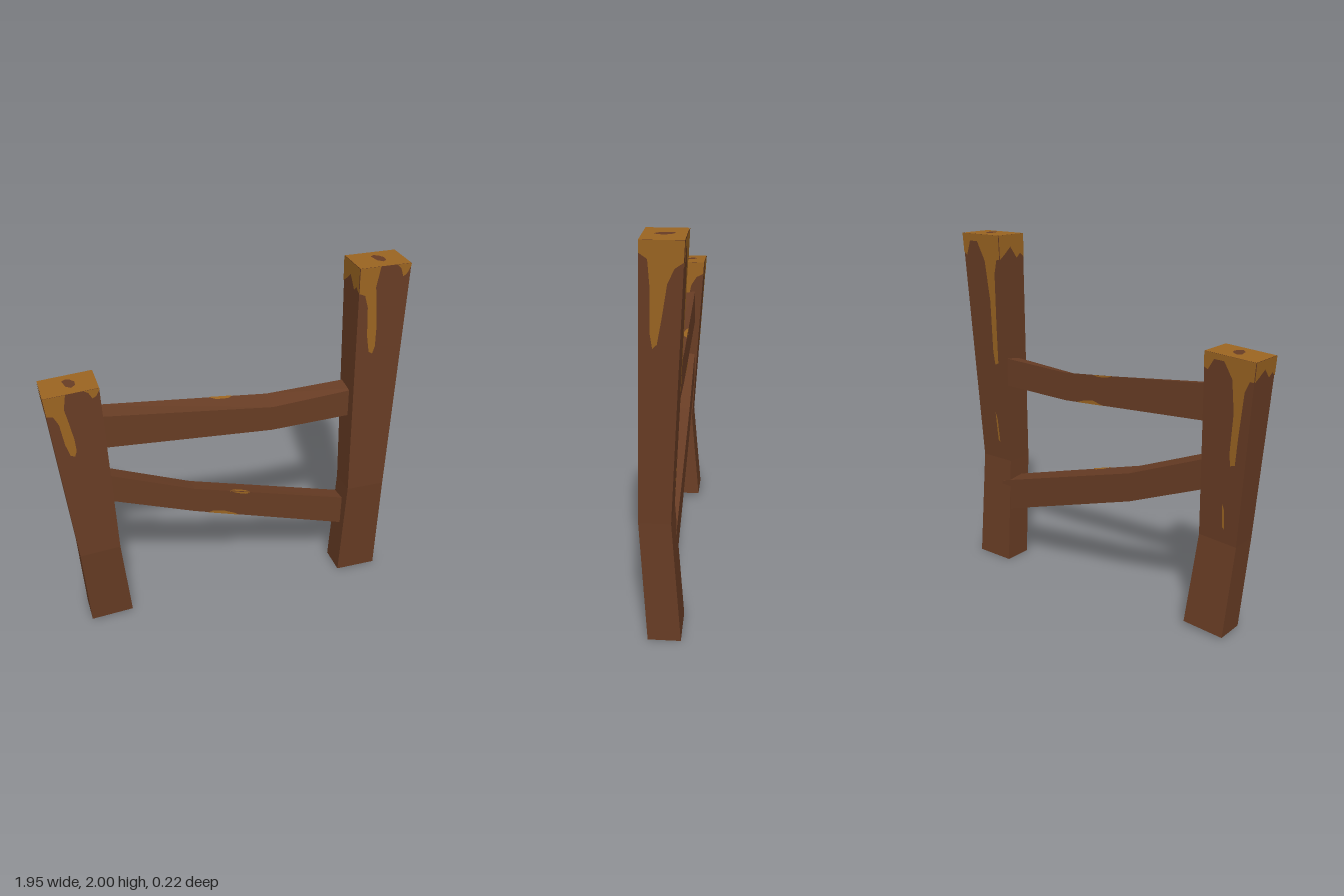
import * as THREE from 'three';

const bark = new THREE.MeshStandardMaterial({ color: 0x673c24 });
bark.name = 'brown bark';
const wood = new THREE.MeshStandardMaterial({ color: 0x9a6421 });
wood.name = 'bare ochre wood';

const V = (x, y, z) => new THREE.Vector3(x, y, z);

// Four-sided beam through sections of four corners, with flat faces
function beam(name, sections, endMaterial) {
  const pos = [];
  const quad = (a, b, c, d) => [a, b, c, a, c, d].forEach(p => pos.push(p.x, p.y, p.z));
  for (let s = 0; s < sections.length - 1; s++) {
    for (let i = 0; i < 4; i++) quad(...sideCorners(sections, s, i));
  }
  const [a, b, c, d] = sections[0];
  quad(d, c, b, a);
  const capStart = pos.length / 3;
  quad(...sections[sections.length - 1]);
  const g = new THREE.BufferGeometry();
  g.setAttribute('position', new THREE.Float32BufferAttribute(pos, 3));
  g.computeVertexNormals();
  g.addGroup(0, capStart, 0);
  g.addGroup(capStart, 6, 1);
  const m = new THREE.Mesh(g, [bark, endMaterial]);
  m.name = name;
  return m;
}

// Corners of one side face of a beam segment
function sideCorners(sections, s, i) {
  const j = (i + 1) % 4;
  return [sections[s][i], sections[s][j], sections[s + 1][j], sections[s + 1][i]];
}

// Thin painted outline laid on a quad, in (u, v) fractions of that quad
function patch(name, [a, b, c, d], outline, material) {
  const g = new THREE.ShapeGeometry(new THREE.Shape(outline.map(p => new THREE.Vector2(...p))));
  const n = b.clone().sub(a).cross(d.clone().sub(a)).normalize().multiplyScalar(0.003);
  const p = g.attributes.position;
  for (let i = 0; i < p.count; i++) {
    const u = p.getX(i), v = p.getY(i);
    const q = a.clone().lerp(b, u).lerp(d.clone().lerp(c, u), v).add(n);
    p.setXYZ(i, q.x, q.y, q.z);
  }
  const flat = g.toNonIndexed();
  flat.computeVertexNormals();
  const m = new THREE.Mesh(flat, material);
  m.name = name;
  return m;
}

// Worn areas on each post: [name, segment, face, outline]; faces: front, left, back, right
const postWear = [
  ['frontDrip', 1, 0, [[0, 1], [0.4, 1], [0.33, 0.92], [0.36, 0.86], [0.41, 0.74], [0.41, 0.67], [0.36, 0.64],
    [0.28, 0.65], [0.22, 0.72], [0.19, 0.84], [0.12, 0.89], [0, 0.9]]],
  ['frontChip', 1, 0, [[0.72, 1], [0.8, 0.985], [0.86, 0.95], [0.93, 0.96], [1, 0.99], [1, 1]]],
  ['leftDrip', 1, 1, [[0, 1], [0, 0.96], [0.2, 0.94], [0.26, 0.85], [0.27, 0.7], [0.34, 0.645], [0.45, 0.66],
    [0.55, 0.75], [0.65, 0.86], [0.8, 0.91], [1, 0.93], [1, 1]]],
  ['backDrip', 1, 2, [[0, 1], [0, 0.92], [0.08, 0.91], [0.2, 0.97], [0.4, 0.97], [0.58, 0.89], [0.66, 0.72],
    [0.64, 0.5], [0.68, 0.44], [0.78, 0.45], [0.8, 0.62], [0.84, 0.84], [0.92, 0.9], [1, 0.9], [1, 1]]],
  ['backChip', 1, 2, [[0.56, 0.22], [0.62, 0.19], [0.66, 0.08], [0.6, 0.09]]],
  ['rightBand', 1, 3, [[0, 1], [0, 0.9], [0.2, 0.92], [0.45, 0.95], [0.7, 0.9], [0.85, 0.92], [1, 0.9], [1, 1]]],
];
const knot = [[0.41, 0.68], [0.48, 0.75], [0.56, 0.7], [0.63, 0.55], [0.62, 0.37], [0.54, 0.26], [0.45, 0.38]];

// Post from levels [centre x, y, half width, back z, front z], tilted by a constant slope
function post(name, levels, slope) {
  const sections = levels.map(([x, y, w, z0, z1]) => [
    V(x - w, y - w * slope, z1), V(x + w, y + w * slope, z1),
    V(x + w, y + w * slope, z0), V(x - w, y - w * slope, z0),
  ]);
  const g = new THREE.Group();
  g.name = name;
  g.add(beam('postBody', sections, wood));
  for (const [n, s, f, outline] of postWear) g.add(patch(n, sideCorners(sections, s, f), outline, wood));
  g.add(patch('topKnot', sections[2], knot, bark));
  return g;
}

// Rail from stations [x, low front, low back, high back, high front]
function rail(name, stations, wear) {
  const sections = stations.map(([x, lf, lb, hb, hf]) => [
    V(x, lf, 0.045), V(x, lb, -0.057), V(x, hb, -0.057), V(x, hf, 0.045),
  ]);
  const g = new THREE.Group();
  g.name = name;
  g.add(beam('railBody', sections, bark));
  for (const [n, s, f, outline] of wear) g.add(patch(n, sideCorners(sections, s, f), outline, wood));
  return g;
}

export function createModel() {
  const model = new THREE.Group();
  model.name = 'fence';

  // Tall and short posts
  model.add(post('tallPost', [
    [0.83, 0, 0.12, -0.093, 0.072], [0.823, 0.64, 0.111, -0.045, 0.112], [0.829, 2, 0.143, -0.11, 0.088],
  ], 0));
  model.add(post('shortPost', [
    [-0.721, 0.018, 0.12, -0.093, 0.072], [-0.763, 0.53, 0.112, -0.045, 0.112], [-0.832, 1.53, 0.143, -0.11, 0.088],
  ], 0.07));

  // Upper rail, worn along its back edges
  model.add(rail('upperRail', [
    [-0.74, 1.16, 1.17, 1.367, 1.352], [0.25, 1.095, 1.11, 1.27, 1.24], [0.78, 1.112, 1.122, 1.287, 1.274],
  ], [
    ['topEdgeWear', 0, 1, [[1, 0.66], [0.95, 0.7], [0.94, 0.76], [1, 0.8]]],
    ['topWear', 0, 2, [[0, 0.66], [0, 0.8], [0.18, 0.77], [0.2, 0.7]]],
    ['bottomEdgeWear', 0, 1, [[0, 0.73], [0, 0.92], [0.08, 0.87], [0.13, 0.8]]],
    ['bottomWear', 0, 0, [[1, 0.73], [1, 0.92], [0.75, 0.88], [0.7, 0.78]]],
  ]));

  // Lower rail, worn along its front edges
  model.add(rail('lowerRail', [
    [-0.74, 0.835, 0.825, 0.99, 1.003], [-0.2, 0.635, 0.61, 0.775, 0.79], [0.78, 0.325, 0.31, 0.5, 0.512],
  ], [
    ['topEdgeWear', 1, 3, [[0, 0.21], [0.06, 0.26], [0.07, 0.31], [0, 0.34]]],
    ['topWear', 1, 2, [[1, 0.21], [1, 0.34], [0.82, 0.31], [0.8, 0.25]]],
    ['bottomEdgeWear', 1, 3, [[1, 0.08], [0.9, 0.11], [0.87, 0.18], [0.93, 0.24], [1, 0.27]]],
    ['bottomWear', 1, 0, [[0, 0.08], [0.25, 0.12], [0.3, 0.22], [0, 0.27]]],
  ]));

  return model;
}
